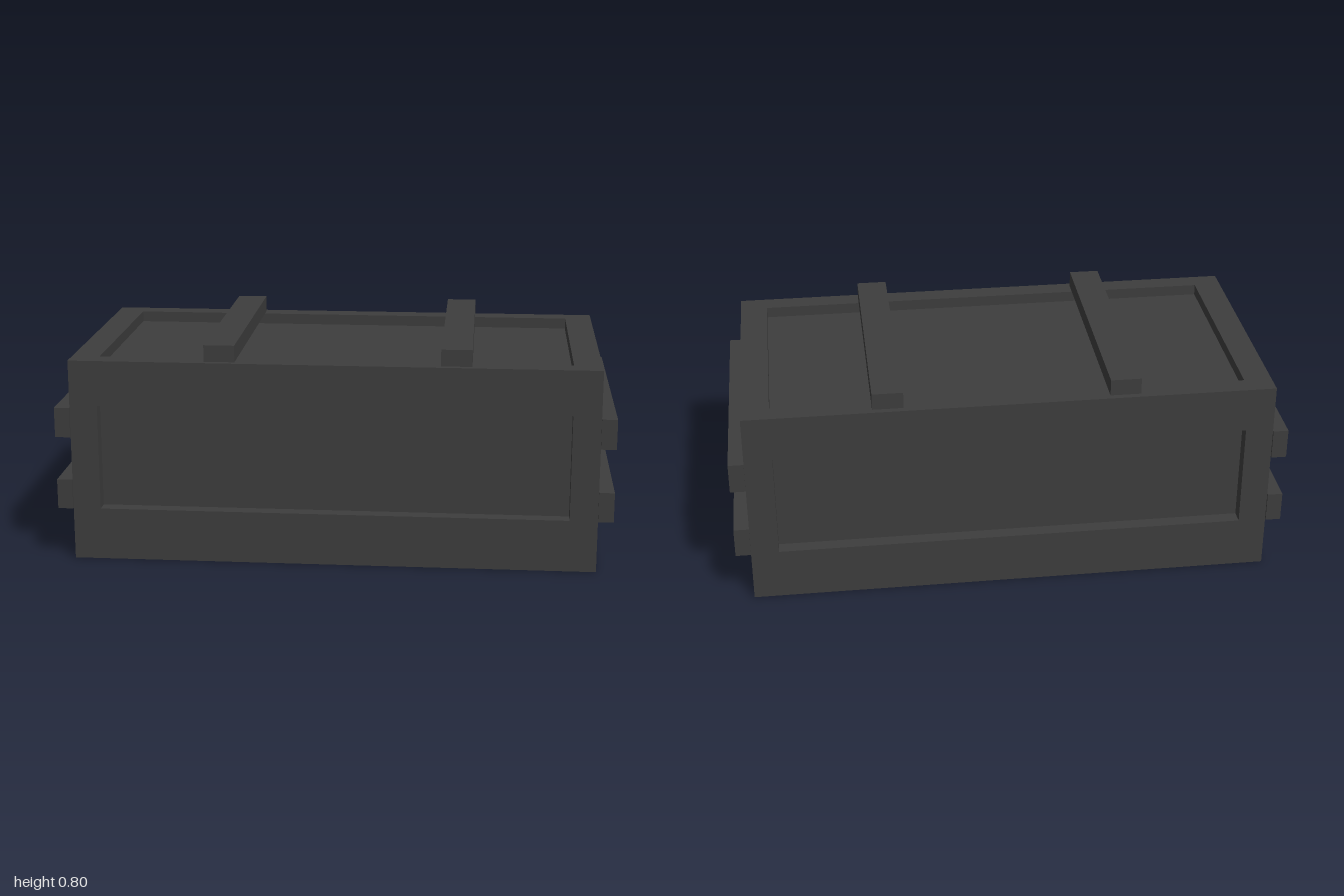
import * as THREE from 'three';
import { mergeGeometries } from 'three/addons/utils/BufferGeometryUtils.js';

const W = 1.89, H = 0.74, D = 0.95; // crate body

const material = new THREE.MeshStandardMaterial({ color: 0x3d3d3d, flatShading: true });

const rect = (Type, w, h, cy = 0) => new Type([
  new THREE.Vector2(-w / 2, cy - h / 2), new THREE.Vector2(w / 2, cy - h / 2),
  new THREE.Vector2(w / 2, cy + h / 2), new THREE.Vector2(-w / 2, cy + h / 2),
]);

// One side of the crate, facing +z: flat border, recess walls and sunken panel
function recessedFace(w, h, pw, ph, cy, depth) {
  const border = rect(THREE.Shape, w, h);
  border.holes.push(rect(THREE.Path, pw, ph, cy));
  const parts = [
    new THREE.ShapeGeometry(border),
    new THREE.PlaneGeometry(pw, ph).translate(0, cy, -depth),
  ];
  for (const s of [-1, 1]) {
    parts.push(new THREE.PlaneGeometry(depth, ph).rotateY(-s * Math.PI / 2)
      .translate(s * pw / 2, cy, -depth / 2));
    parts.push(new THREE.PlaneGeometry(pw, depth).rotateX(s * Math.PI / 2)
      .translate(0, cy + s * ph / 2, -depth / 2));
  }
  return mergeGeometries(parts);
}

export function createModel() {
  const crate = new THREE.Group();
  crate.name = 'crate';
  const add = (parent, name, geometry, x, y, z) => {
    const mesh = new THREE.Mesh(geometry, material);
    mesh.name = name;
    mesh.position.set(x, y, z);
    parent.add(mesh);
    return mesh;
  };

  // Body: six faces, each with a sunken panel
  const body = new THREE.Group();
  body.name = 'body';
  crate.add(body);
  const long = recessedFace(W, H, 1.69, 0.385, 0.013, 0.05);
  const end = recessedFace(D, H, 0.6, 0.555, 0.008, 0.05);
  const q = Math.PI / 2;
  add(body, 'frontFace', long, 0, H / 2, D / 2);
  add(body, 'backFace', long, 0, H / 2, -D / 2).rotation.y = Math.PI;
  add(body, 'leftFace', end, W / 2, H / 2, 0).rotation.y = q;
  add(body, 'rightFace', end, -W / 2, H / 2, 0).rotation.y = -q;
  add(body, 'topFace', recessedFace(W, D, 1.69, 0.8, 0, 0.04), 0, H, 0).rotation.x = -q;
  add(body, 'bottomFace', recessedFace(W, D, 1.69, 0.64, 0, 0.05), 0, 0, 0).rotation.x = q;

  // Slats across the lid
  const lidSlat = new THREE.BoxGeometry(0.11, 0.06, 0.906);
  for (const x of [-0.405, 0.435]) add(crate, 'lidSlat', lidSlat, x, 0.77, 0);

  // Pairs of slats across both ends
  const endSlat = new THREE.BoxGeometry(0.055, 0.109, 0.965);
  for (const side of [-1, 1])
    for (const y of [0.245, 0.513])
      add(crate, side > 0 ? 'leftEndSlat' : 'rightEndSlat', endSlat, side * 0.9725, y, 0);

  return crate;
}
